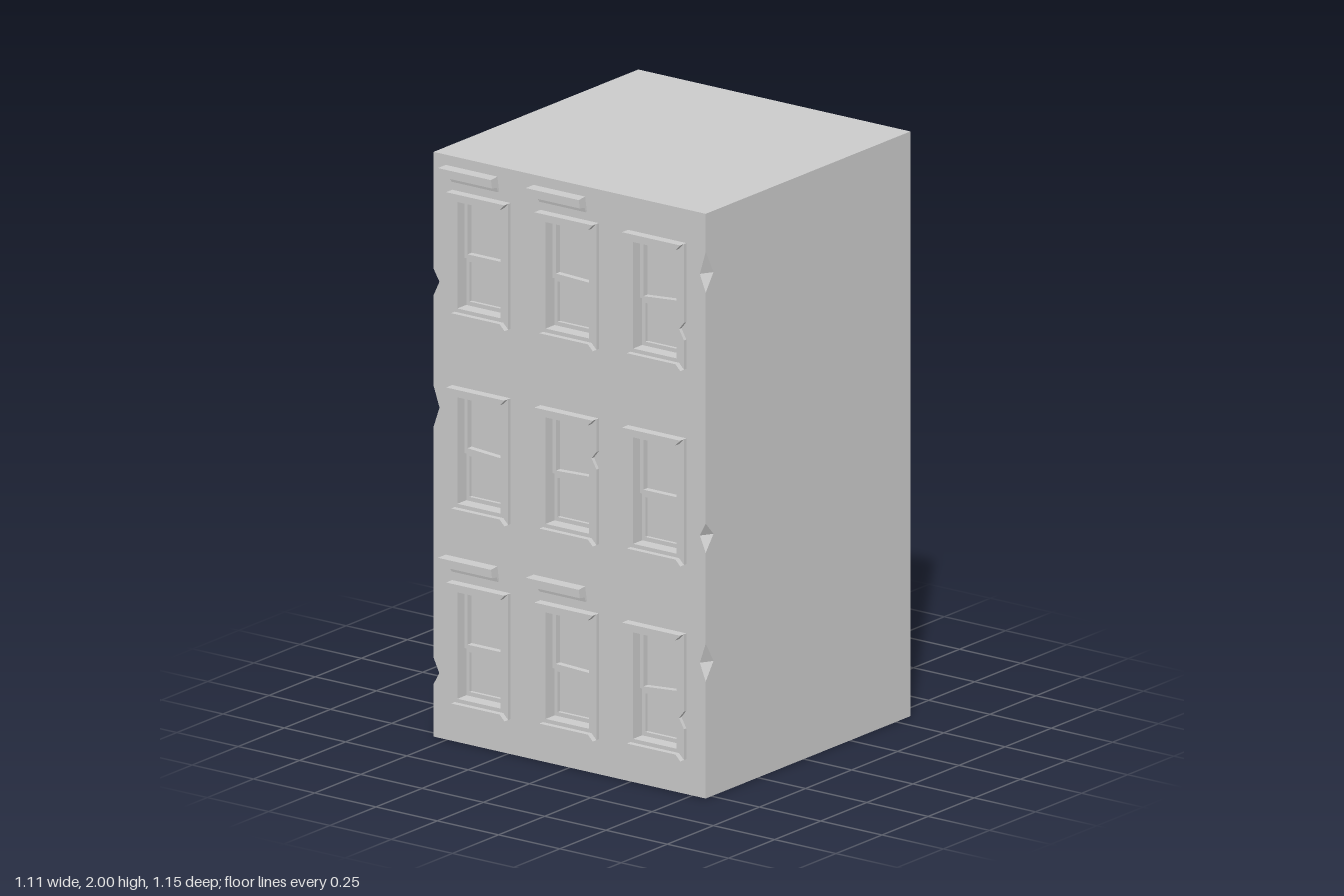
import * as THREE from 'three';

const mat = new THREE.MeshStandardMaterial({ color: 0xcccccc, flatShading: true });
const W = 0.555, H = 2, FRONT = 0.532, BACK = -0.578;
const COLS = [-0.36, 0, 0.357];
const ROWS = [0.335, 1.002, 1.67]; // window centre heights
const OUT = [0.119, 0.215], IN = [0.088, 0.182]; // casing half sizes

// Broken corners: [bottom, tip, top] of each notch, by side
const NOTCHES = {
  '1': [[0.4, 0.46, 0.53], [0.84, 0.895, 0.94], [1.73, 1.79, 1.87]],
  '-1': [[0.18, 0.22, 0.27], [1.06, 1.13, 1.2], [1.51, 1.56, 1.6]],
};
const CUT_X = 0.024, CUT_Z = 0.042;

// Per window (row by row): tilt of the meeting rail, chipped side and chip height
const WINDOWS = [
  [[0, 0, 0], [-0.006, -1, 0.4], [0.012, 1, 0.26]],
  [[-0.01, -1, 0.92], [0.006, 1, 1.08], [0, 0, 0]],
  [[0, 0, 0], [-0.006, -1, 1.73], [0.012, 1, 1.59]],
];

const poly = (pts) => new THREE.Shape(pts.map(([x, y]) => new THREE.Vector2(x, y)));
const rect = (x, y, w, h) => [[x - w, y - h], [x + w, y - h], [x + w, y + h], [x - w, y + h]];

function add(group, name, geometry, x = 0, y = 0, z = 0) {
  const mesh = new THREE.Mesh(geometry, mat);
  mesh.name = name;
  mesh.position.set(x, y, z);
  group.add(mesh);
  return mesh;
}

function extrude(shape, depth) {
  return new THREE.ExtrudeGeometry(shape, { depth, bevelEnabled: false });
}

// Points up one vertical edge, stepping in at each notch
function notchedEdge(side, edge, tip) {
  return [[edge, 0], ...NOTCHES[side].flatMap(([a, m, b]) => [[edge, a], [tip, m], [edge, b]]), [edge, H]];
}

function buildBody() {
  const body = new THREE.Group();
  body.name = 'buildingBody';

  // Front wall with window openings
  const wall = poly([...notchedEdge(1, W, W - CUT_X), ...notchedEdge(-1, -W, CUT_X - W).reverse()]);
  for (const x of COLS) for (const y of ROWS) wall.holes.push(poly(rect(x, y, IN[0] + 0.006, IN[1] + 0.006)));
  add(body, 'frontWall', new THREE.ShapeGeometry(wall), 0, 0, FRONT);

  // Side walls and the facets inside the notches
  for (const s of [1, -1]) {
    const edge = notchedEdge(s, FRONT, FRONT - CUT_Z);
    const pts = [...edge, [BACK, H], [BACK, 0]].map(([z, y]) => [-s * z, y]);
    add(body, 'sideWall', new THREE.ShapeGeometry(poly(pts)).rotateY(s * Math.PI / 2), s * W);

    const tri = [];
    for (const [a, m, b] of NOTCHES[s]) {
      const p = [s * (W - CUT_X), m, FRONT], q = [s * W, m, FRONT - CUT_Z];
      const lo = [s * W, a, FRONT], hi = [s * W, b, FRONT];
      tri.push(...(s > 0 ? [lo, q, p, hi, p, q] : [lo, p, q, hi, q, p]).flat());
    }
    const g = new THREE.BufferGeometry();
    g.setAttribute('position', new THREE.Float32BufferAttribute(tri, 3));
    g.computeVertexNormals();
    add(body, 'cornerChips', g);
  }

  // Back, roof and base
  const depth = FRONT - BACK, mid = (FRONT + BACK) / 2;
  add(body, 'backWall', new THREE.PlaneGeometry(2 * W, H).rotateY(Math.PI), 0, H / 2, BACK);
  add(body, 'roof', new THREE.PlaneGeometry(2 * W, depth).rotateX(-Math.PI / 2), 0, H, mid);
  add(body, 'base', new THREE.PlaneGeometry(2 * W, depth).rotateX(Math.PI / 2), 0, 0, mid);
  return body;
}

function buildWindow(x, y, [tilt, chipSide, chipY]) {
  const win = new THREE.Group();
  win.name = 'window';
  win.position.set(x, y, 0);
  const [ox, oy] = OUT, [ix, iy] = IN;

  // Casing, whose inner faces line the opening
  const edge = (s) => {
    const c = chipY - y;
    const chip = s === chipSide ? [[s * ox, c - 0.035], [s * (ox - 0.02), c], [s * ox, c + 0.025]] : [];
    return [[s * ox, -oy], ...chip, [s * ox, oy]];
  };
  const casing = poly([...edge(1), ...edge(-1).reverse()]);
  casing.holes.push(poly(rect(0, 0, ix, iy)));
  add(win, 'casing', extrude(casing, 0.065), 0, 0, 0.48);

  // Mitred head and sill mouldings
  for (const s of [1, -1]) {
    const bar = poly([[-ox, s * oy], [ox, s * oy], [ox - 0.02, s * (oy - 0.02)], [-ox + 0.02, s * (oy - 0.02)]]);
    add(win, s > 0 ? 'headMoulding' : 'sill', extrude(bar, 0.022), 0, 0, 0.543);
  }

  // Upper and lower sashes, with a slightly crooked meeting rail
  const px = 0.075, rail = -0.018;
  const sash = (name, y0, y1, hole, z) => {
    const frame = poly([[-ix, y0], [ix, y0], [ix, y1], [-ix, y1]]);
    frame.holes.push(poly(hole));
    add(win, name, extrude(frame, z - 0.48), 0, 0, 0.48);
  };
  sash('upperSash', rail, iy,
    [[-px, rail + 0.014 - tilt / 2], [px, rail + 0.014 + tilt / 2], [px, 0.168], [-px, 0.168]], 0.507);
  sash('lowerSash', -iy, rail,
    [[-px, -0.168], [px, -0.168], [px, rail - 0.014 + tilt / 3], [-px, rail - 0.014 - tilt / 3]], 0.497);
  add(win, 'glass', new THREE.PlaneGeometry(2 * ix, 2 * iy), 0, 0, 0.485);
  return win;
}

// Broken length of cornice: a stepped profile with slanted ends
function corniceGeometry() {
  const length = 0.21;
  const profile = poly([[0, 0], [0.008, 0], [0.012, 0.016], [0.043, 0.022], [0.043, 0.05], [0, 0.05]]);
  const g = extrude(profile, length).rotateY(-Math.PI / 2);
  const p = g.attributes.position;
  for (let i = 0; i < p.count; i++) {
    const drop = 0.05 - p.getY(i);
    const right = p.getX(i) > -length / 2;
    p.setX(i, p.getX(i) + drop * (right ? 0.15 : 0.6) + (right ? p.getZ(i) * 0.15 : 0));
  }
  g.computeVertexNormals();
  return g;
}

export function createModel() {
  const model = new THREE.Group();
  model.name = 'building';
  model.add(buildBody());

  ROWS.forEach((y, r) => COLS.forEach((x, c) => model.add(buildWindow(x, y, WINDOWS[r][c]))));

  for (const y of [0.582, 1.915]) {
    for (const x of [-0.295, 0.063]) add(model, 'cornice', corniceGeometry(), x, y, FRONT);
  }
  return model;
}
